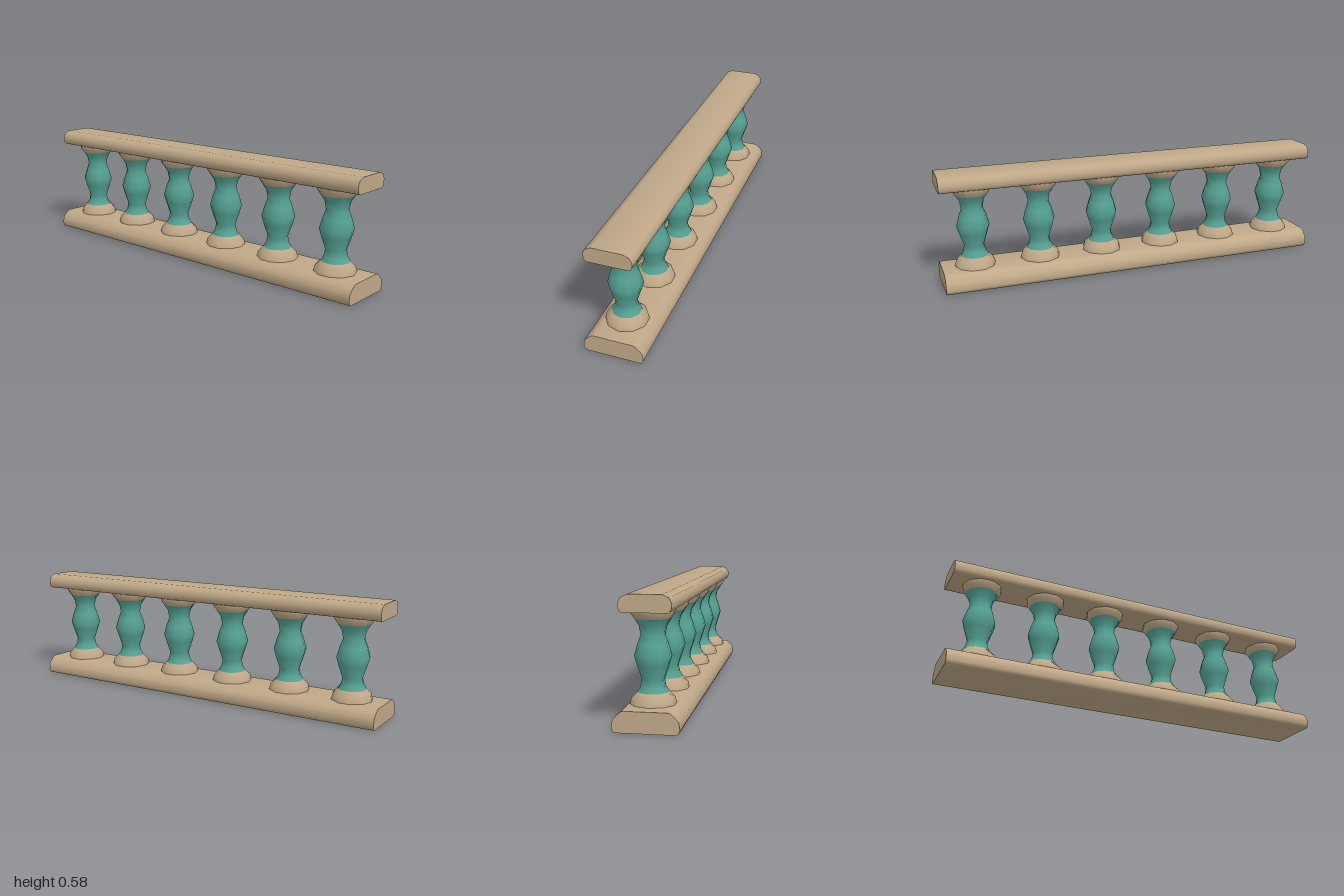
import * as THREE from 'three';
import { toCreasedNormals } from 'three/addons/utils/BufferGeometryUtils.js';

const stone = new THREE.MeshStandardMaterial({ color: 0xc0a888 });
stone.name = 'sandstone';
const teal = new THREE.MeshStandardMaterial({ color: 0x55a294 });
teal.name = 'teal glaze';

// Full-length rail from half a cross-section [z, y], bottom to top
function rail(name, half) {
  const outline = [...half, ...half.map(([z, y]) => [-z, y]).reverse()];
  const shape = new THREE.Shape(outline.map(([z, y]) => new THREE.Vector2(z, y)));
  let geometry = new THREE.ExtrudeGeometry(shape, { depth: 2, bevelEnabled: false });
  geometry.translate(0, 0, -1).rotateY(Math.PI / 2);
  geometry = toCreasedNormals(geometry, 0.75);
  const mesh = new THREE.Mesh(geometry, stone);
  mesh.name = name;
  return mesh;
}

// Ten-sided turned part from a [radius, y] profile, with corners on the x axis
function turned(name, profile, material) {
  const points = profile.map(([r, y]) => new THREE.Vector2(r, y));
  const mesh = new THREE.Mesh(new THREE.LatheGeometry(points, 10, Math.PI / 2), material);
  mesh.name = name;
  return mesh;
}

function baluster() {
  const group = new THREE.Group();
  group.name = 'baluster';
  group.add(
    turned('balusterFoot', [[0.102, 0.09], [0.095, 0.12], [0.07, 0.145]], stone),
    turned('balusterBody', [
      [0.07, 0.145], [0.056, 0.168], [0.05, 0.2], [0.07, 0.26], [0.082, 0.3],
      [0.068, 0.35], [0.053, 0.39], [0.061, 0.43], [0.081, 0.461],
    ], teal),
    turned('balusterCapital', [[0.081, 0.461], [0.098, 0.485], [0.098, 0.502]], stone),
  );
  return group;
}

export function createModel() {
  const model = new THREE.Group();
  model.name = 'balustrade';

  model.add(rail('bottomRail', [
    [0.131, 0], [0.137, 0.004], [0.144, 0.019], [0.14, 0.055],
    [0.121, 0.076], [0.104, 0.09], [0.095, 0.093],
  ]));
  model.add(rail('handrail', [
    [0.095, 0.5], [0.103, 0.504], [0.11, 0.517], [0.112, 0.54],
    [0.101, 0.563], [0.072, 0.576],
  ]));

  // Evenly spaced row of balusters
  for (let i = 0; i < 6; i++) {
    const post = baluster();
    post.position.x = (i - 2.5) / 3;
    model.add(post);
  }
  return model;
}
